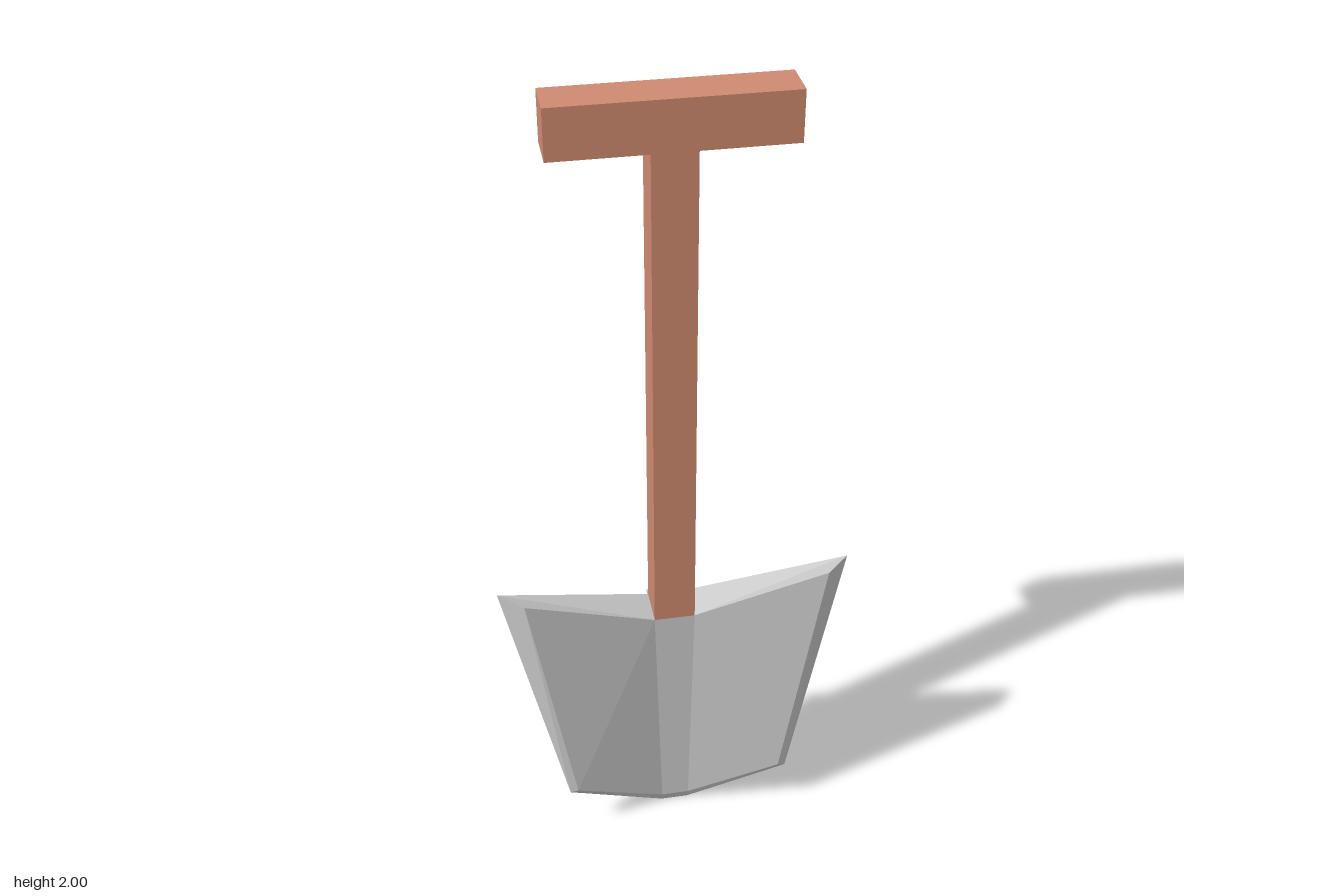
import * as THREE from 'three';

// Flat-shaded solid from convex faces (corners counter-clockwise from outside)
function facetedGeometry(faces) {
  const pos = [];
  for (const f of faces)
    for (let i = 1; i < f.length - 1; i++) pos.push(...f[0], ...f[i], ...f[i + 1]);
  const g = new THREE.BufferGeometry();
  g.setAttribute('position', new THREE.Float32BufferAttribute(pos, 3));
  g.computeVertexNormals();
  return g;
}

const mirror = ([x, y, z]) => [-x, y, z];
const mirrorFace = ([first, ...rest]) => [first, ...rest.reverse()].map(mirror);

function bladeGeometry() {
  // Corners of the left half
  const front = {
    neck: [0.05, 0.645, 0.03], shoulder: [0.37, 0.78, 0.085],
    hip: [0.265, 0.145, 0.095], tip: [0.035, 0.025, 0.038],
  };
  const back = {
    neck: [0.05, 0.645, -0.07], shoulder: [0.43, 0.78, 0.028],
    hip: [0.285, 0.135, 0.088], tip: [0.035, 0, 0.03],
  };
  const spine = [0.05, 0.64, -0.095];

  const half = [
    [front.neck, front.tip, front.hip, front.shoulder],      // front wing
    [back.neck, back.shoulder, back.hip, back.tip],          // back wing
    [front.neck, front.shoulder, back.shoulder, back.neck],  // top rim
    [front.shoulder, front.hip, back.hip, back.shoulder],    // side bevel
    [front.hip, front.tip, back.tip, back.hip],              // lower cutting edge
    [back.neck, back.tip, spine],                            // spine flank
  ];
  const middle = [
    [mirror(front.neck), mirror(front.tip), front.tip, front.neck],
    [mirror(front.tip), mirror(back.tip), back.tip, front.tip],
    [spine, back.tip, mirror(back.tip), mirror(spine)],
    [mirror(front.neck), front.neck, back.neck, mirror(back.neck)],
    [mirror(back.neck), back.neck, spine, mirror(spine)],
  ];
  return facetedGeometry([...half, ...half.map(mirrorFace), ...middle]);
}

export function createModel() {
  const group = new THREE.Group();
  group.name = 'shovel';
  const wood = new THREE.MeshStandardMaterial({ color: 0xd08a70, flatShading: true });
  const metal = new THREE.MeshStandardMaterial({ color: 0xcccccc, flatShading: true });

  const add = (name, geometry, material, y = 0, z = 0) => {
    const mesh = new THREE.Mesh(geometry, material);
    mesh.name = name;
    mesh.position.set(0, y, z);
    group.add(mesh);
  };

  // T-shaped wooden handle
  add('shaft', new THREE.BoxGeometry(0.1, 1.24, 0.1), wood, 1.265, -0.02);
  add('grip', new THREE.BoxGeometry(0.53, 0.115, 0.1), wood, 1.9425, -0.02);

  // Dished metal blade with a tapering spine at the back
  add('blade', bladeGeometry(), metal);

  return group;
}
